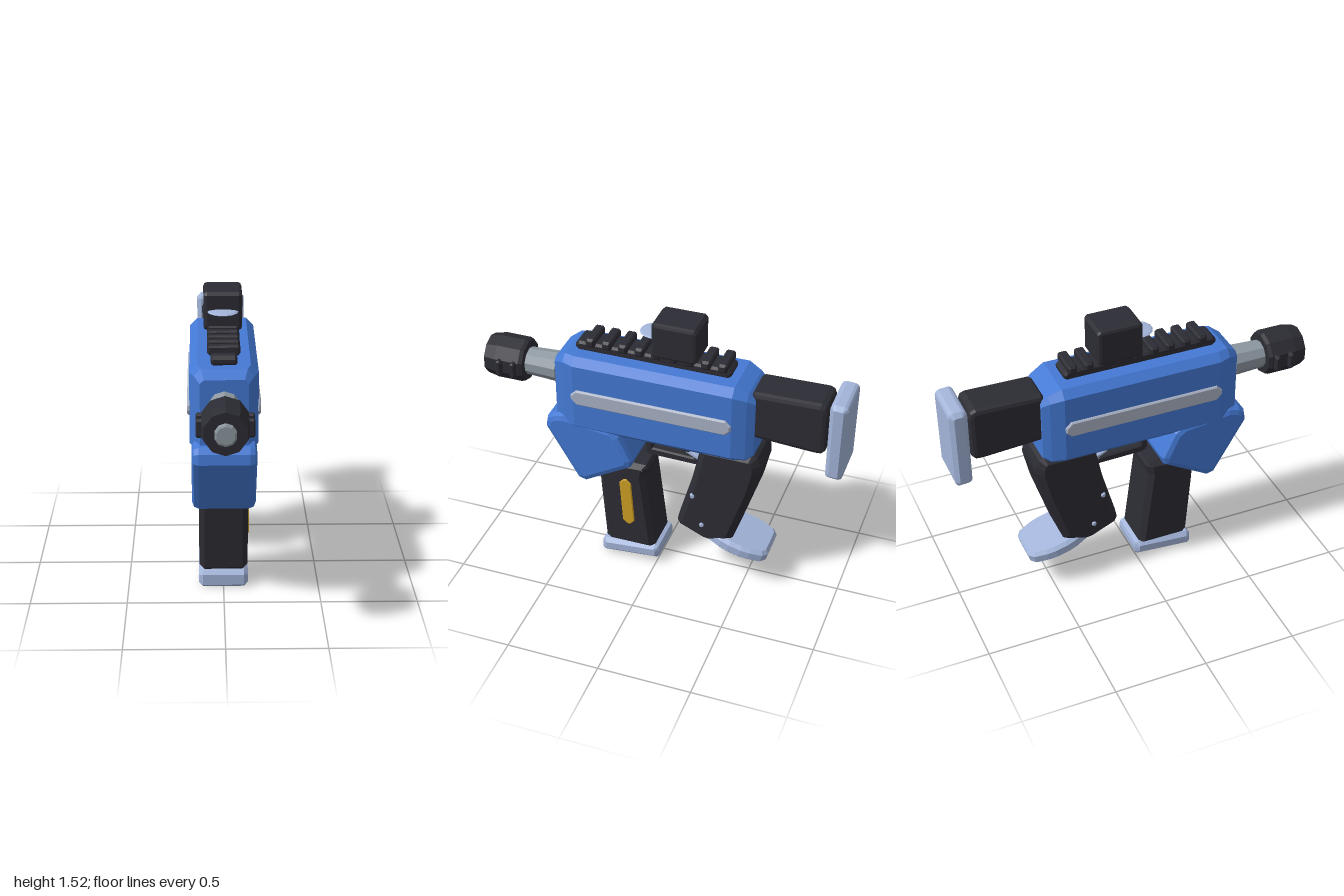
import * as THREE from 'three';

const mat = (name, color) => {
  const m = new THREE.MeshStandardMaterial({ color, flatShading: true });
  m.name = name;
  return m;
};

// Cut every corner of a polygon by distance c
function chamfer(pts, c) {
  const out = [];
  pts.forEach((p, i) => {
    const v = new THREE.Vector2(...p);
    for (const q of [pts[(i + pts.length - 1) % pts.length], pts[(i + 1) % pts.length]]) {
      const d = new THREE.Vector2(...q).sub(v);
      out.push(v.clone().addScaledVector(d, Math.min(c / d.length(), 0.45)));
    }
  });
  return out;
}

// Bevelled slab centred on its extrusion axis; the outline is the outer silhouette
function slab(pts, width, bevel, corner, segments = 1) {
  const depth = width - 2 * bevel;
  return new THREE.ExtrudeGeometry(new THREE.Shape(chamfer(pts, corner)), {
    depth, bevelEnabled: bevel > 0, bevelSize: bevel, bevelThickness: bevel,
    bevelOffset: -bevel, bevelSegments: segments,
  }).translate(0, 0, -depth / 2);
}

// Slab drawn in (z, y) and extruded across x
const side = (...a) => slab(...a).rotateY(-Math.PI / 2);
const rect = (x0, x1, y0, y1) => [[x0, y0], [x1, y0], [x1, y1], [x0, y1]];

// Octagonal cross-sections [z, half width, bottom, top, corner], from front to back
function loft(sections) {
  const pos = [], index = [], n = 8;
  for (const [z, w, y0, y1, c] of sections)
    for (const p of [[w, y0 + c], [w, y1 - c], [w - c, y1], [c - w, y1],
      [-w, y1 - c], [-w, y0 + c], [c - w, y0], [w - c, y0]]) pos.push(...p, z);
  const last = (sections.length - 1) * n;
  for (let i = 0; i < last; i += n)
    for (let j = 0; j < n; j++) {
      const k = (j + 1) % n;
      index.push(i + j, i + n + j, i + k, i + k, i + n + j, i + n + k);
    }
  for (let j = 1; j < n - 1; j++) index.push(0, j, j + 1, last, last + j + 1, last + j);
  const g = new THREE.BufferGeometry();
  g.setAttribute('position', new THREE.Float32BufferAttribute(pos, 3));
  g.setIndex(index);
  g.computeVertexNormals();
  return g;
}

// Turned part along z, profile of [radius, z] from back to front
const turned = (pts, y) => new THREE.LatheGeometry(
  pts.map(p => new THREE.Vector2(...p)), 10).rotateX(Math.PI / 2).translate(0, y, 0);

export function createModel() {
  const group = new THREE.Group();
  const blue = mat('blue', 0x4479d4);
  const black = mat('black', 0x2c2c34);
  const pale = mat('pale blue', 0xa3b5da);
  const silver = mat('silver', 0xaab3c6);
  const grey = mat('barrel grey', 0x8e99a2);
  const yellow = mat('yellow', 0xd0a024);
  const add = (name, geo, material) => {
    const m = new THREE.Mesh(geo, material);
    m.name = name;
    group.add(m);
    return m;
  };

  // Main body with tapered ends
  add('body', loft([
    [0.557, 0.12, 0.86, 1.225, 0.02],
    [0.50, 0.15, 0.82, 1.265, 0.035],
    [0.44, 0.172, 0.82, 1.268, 0.04],
    [-0.42, 0.172, 0.82, 1.268, 0.04],
    [-0.49, 0.145, 0.82, 1.235, 0.03],
    [-0.527, 0.12, 0.85, 1.2, 0.02],
  ]), blue);
  for (const s of [-1, 1])
    add('sideStripe', side(rect(-0.42, 0.45, 1.0, 1.088), 0.02, 0.008, 0.03)
      .translate(s * 0.174, 0, 0), silver);

  // Barrel and muzzle
  add('barrel', turned([[0, 0.582], [0.082, 0.582], [0.074, 0.76], [0, 0.76]], 1.095), grey);
  add('muzzle', turned([[0, 0.755], [0.112, 0.755], [0.12, 0.775], [0.12, 0.91],
    [0.107, 0.975], [0, 0.975]], 1.098), black);
  add('muzzleTip', turned([[0.055, 0.97], [0.055, 0.995], [0.045, 1.0], [0, 1.0]], 1.098), grey);
  for (const s of [-1, 1]) for (const z of [0.80, 0.88])
    add('muzzleRib', side(rect(z - 0.016, z + 0.016, 1.05, 1.142), 0.04, 0.008, 0.01)
      .translate(s * 0.12, 0, 0), black);

  // Top rail with teeth
  add('rail', side(rect(-0.38, 0.462, 1.262, 1.316), 0.13, 0.012, 0.018), black);
  for (let i = 0; i < 9; i++) {
    const z = 0.375 - i * 0.089;
    add('railTooth', side(rect(z - 0.025, z + 0.025, 1.30, 1.35), 0.165, 0.012, 0.008), black);
  }

  // Sight with a small visor
  add('sightNeck', side(rect(-0.18, 0.01, 1.29, 1.36), 0.14, 0.01, 0.01), black);
  add('sight', side(rect(-0.208, 0.036, 1.325, 1.525), 0.2, 0.018, 0.016, 2), black);
  add('visor', new THREE.SphereGeometry(0.08, 14, 6).scale(1, 0.14, 1.05)
    .translate(0, 1.427, 0.04), pale);

  // Stock and butt plate
  add('stock', side([[-0.50, 0.965], [-0.50, 1.235], [-0.87, 1.242], [-0.895, 1.215],
    [-0.89, 0.95], [-0.85, 0.943]], 0.212, 0.024, 0.014, 2), black);
  add('buttPlate', side([[-0.905, 0.835], [-0.905, 1.255], [-0.925, 1.272], [-0.985, 1.268],
    [-1.0, 1.25], [-0.995, 0.84], [-0.98, 0.822], [-0.92, 0.826]], 0.27, 0.022, 0.008), pale);

  // Front holder, leg, and foot
  add('frontHolder', side([[0.635, 0.835], [0.55, 0.905], [0.21, 0.86], [0.11, 0.65],
    [0.42, 0.47]], 0.325, 0.035, 0.035, 2), blue);
  add('frontLeg', side([[0.33, 0.64], [0.045, 0.64], [0.07, 0.58], [0.01, 0.085],
    [0.295, 0.085], [0.325, 0.48]], 0.255, 0.028, 0.02), black);
  add('legStripe', slab(rect(-0.033, 0.033, -0.15, 0.15), 0.016, 0.004, 0.025)
    .rotateY(-Math.PI / 2).rotateX(0.07).translate(0.128, 0.39, 0.165), yellow);
  add('frontFoot', side([[0.32, 0.0], [0.318, 0.085], [0.0, 0.112], [-0.015, 0.09],
    [-0.012, 0.028]], 0.26, 0.022, 0.014), pale);

  // Rear grip, with screws on both sides and a tilted foot
  add('rearGrip', side([[-0.245, 0.86], [-0.54, 0.86], [-0.57, 0.78], [-0.53, 0.60],
    [-0.425, 0.27], [-0.285, 0.233], [-0.115, 0.31], [-0.125, 0.37], [-0.2, 0.64]],
  0.28, 0.035, 0.02), black);
  for (const s of [-1, 1]) for (const [z, y] of [[-0.21, 0.535], [-0.265, 0.355]])
    add('screw', new THREE.CylinderGeometry(0.01, 0.016, 0.016, 8).rotateZ(-s * Math.PI / 2)
      .translate(s * 0.142, y, z), pale);
  add('rearFoot', slab([[-0.11, 0.175], [0.11, 0.175], [0.15, 0.06], [0.15, -0.06],
    [0.11, -0.175], [-0.11, -0.175], [-0.15, -0.06], [-0.15, 0.06]], 0.078, 0.018, 0.025)
    .rotateX(-Math.PI / 2).rotateX(-0.26).translate(0, 0.232, -0.45), pale);

  // Trigger guard and trigger
  add('guardFront', side([[0.095, 0.83], [0.06, 0.83], [0.05, 0.68], [0.09, 0.68]],
    0.07, 0.008, 0.006), black);
  add('guardBottom', side([[0.09, 0.68], [0.07, 0.712], [-0.19, 0.702], [-0.21, 0.66],
    [0.06, 0.665]], 0.07, 0.008, 0.008), black);
  add('guardRear', side([[-0.10, 0.83], [-0.165, 0.83], [-0.155, 0.73], [-0.11, 0.73]],
    0.07, 0.008, 0.006), black);
  add('trigger', side([[-0.12, 0.725], [-0.14, 0.75], [-0.25, 0.70], [-0.24, 0.66]],
    0.06, 0.012, 0.012), pale);
  return group;
}
